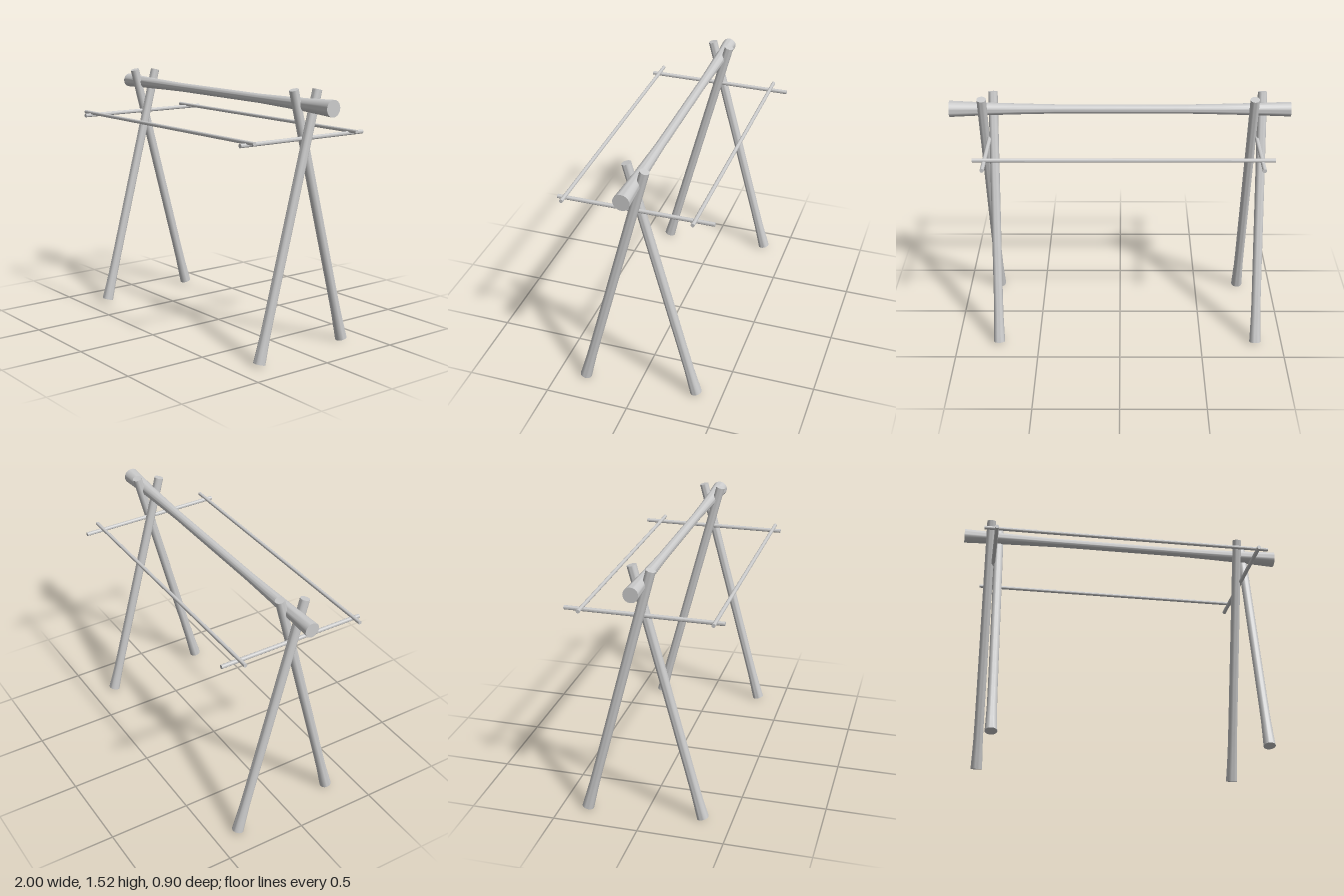
import * as THREE from 'three';
import { toCreasedNormals } from 'three/addons/utils/BufferGeometryUtils.js';

const material = new THREE.MeshStandardMaterial({ color: 0xcccccc });

// Round pole from a to b; profile is a list of [fraction along, radius], capped at both ends
function pole(name, a, b, profile, sides = 24) {
  const start = new THREE.Vector3(...a);
  const dir = new THREE.Vector3(...b).sub(start);
  const length = dir.length();
  const points = [
    new THREE.Vector2(0, 0),
    ...profile.map(([t, r]) => new THREE.Vector2(r, t * length)),
    new THREE.Vector2(0, length),
  ];
  const geometry = toCreasedNormals(new THREE.LatheGeometry(points, sides), 0.6);
  const mesh = new THREE.Mesh(geometry, material);
  mesh.name = name;
  mesh.position.copy(start);
  mesh.quaternion.setFromUnitVectors(new THREE.Vector3(0, 1, 0), dir.normalize());
  return mesh;
}

export function createModel() {
  const model = new THREE.Group();
  model.name = 'poleFrame';

  // Crossed legs with flared feet, and a crossbar lashed to each pair
  const legProfile = [[0, 0.035], [0.05, 0.032], [0.11, 0.029], [0.2, 0.028], [1, 0.0275]];
  const barProfile = [[0, 0.012], [1, 0.012]];
  for (const [side, backX, frontX, barX] of [
    ['right', -0.837, -0.782, -0.812],
    ['left', 0.747, 0.803, 0.774],
  ]) {
    const trestle = new THREE.Group();
    trestle.name = side + 'Trestle';
    trestle.add(
      pole('frontLeg', [frontX, 0.009, 0.33], [frontX, 1.512, -0.07], legProfile),
      pole('backLeg', [backX, 0.009, -0.345], [backX, 1.512, 0.053], legProfile),
      pole('crossbar', [barX, 1.242, -0.45], [barX, 1.242, 0.45], barProfile, 16),
    );
    model.add(trestle);
  }

  // Top beam, slim in the middle and thicker towards its ends
  model.add(pole('topBeam', [-1, 1.428, -0.01], [1, 1.428, -0.01], [
    [0, 0.043], [0.1, 0.036], [0.2, 0.031], [0.3, 0.027],
    [0.69, 0.027], [0.8, 0.032], [0.9, 0.038], [1, 0.048],
  ], 32));

  // Long thin rails resting on the crossbars
  for (const [name, z] of [['frontRail', 0.403], ['backRail', -0.345]]) {
    model.add(pole(name, [-0.885, 1.256, z], [0.84, 1.256, z], [[0, 0.011], [1, 0.011]], 16));
  }
  return model;
}
